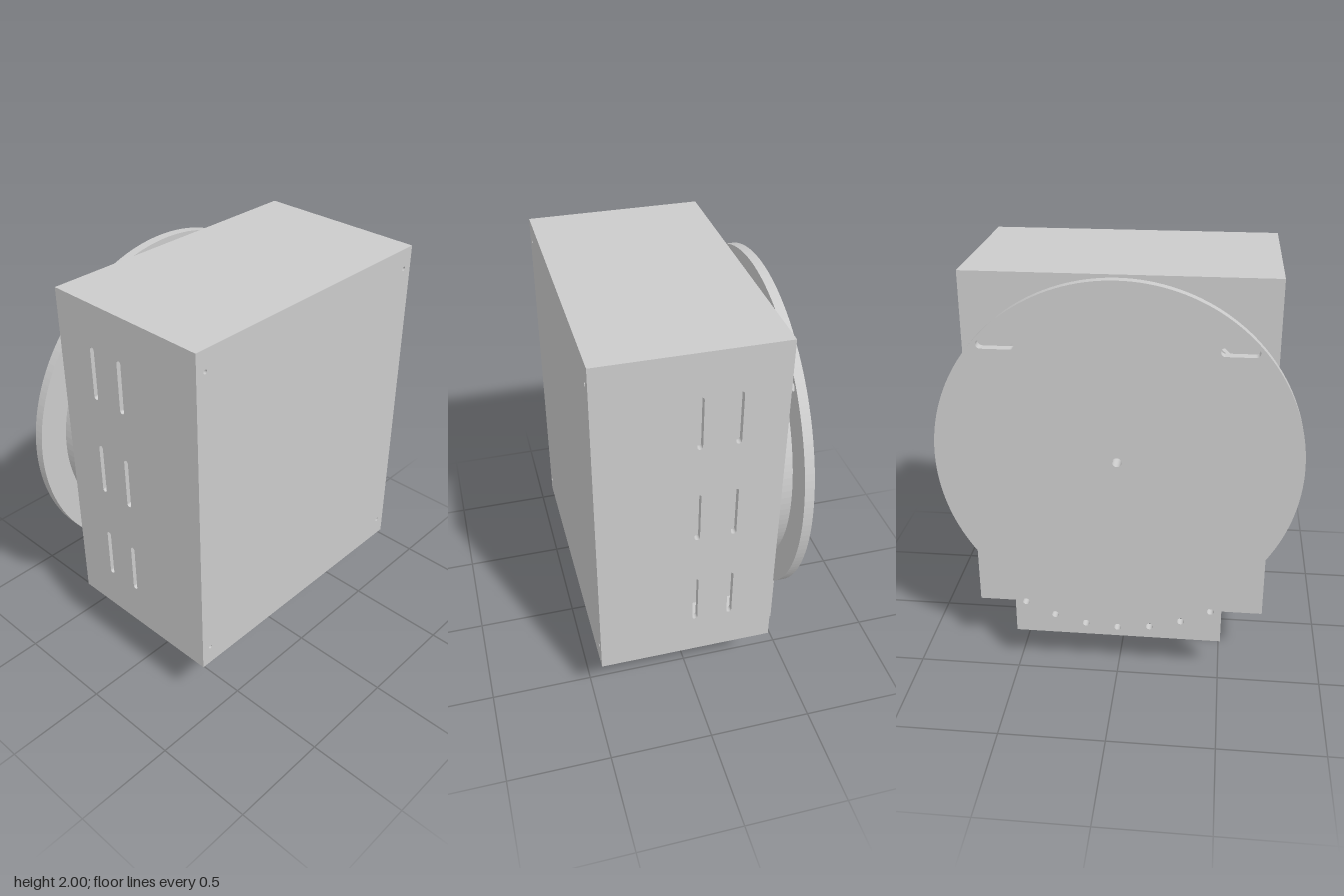
import * as THREE from 'three';

const material = new THREE.MeshStandardMaterial({ color: 0xcccccc });
const W = 0.705, BOTTOM = 0.31, TOP = 2, FRONT = 0.47, BACK = -0.375, T = 0.03;
const CY = 1.155; // height of the disc centre

function add(parent, name, geometry, x = 0, y = 0, z = 0) {
  const mesh = new THREE.Mesh(geometry, material);
  mesh.name = name;
  mesh.position.set(x, y, z);
  parent.add(mesh);
  return mesh;
}

function rectShape(x0, y0, x1, y1) {
  return new THREE.Shape([[x0, y0], [x1, y0], [x1, y1], [x0, y1]].map(p => new THREE.Vector2(...p)));
}

function roundHole(x, y, r) {
  return new THREE.Path().absarc(x, y, r, 0, Math.PI * 2, true);
}

// Rounded slot, standing or lying
function slot(x, y, length, width, upright) {
  const r = width / 2, h = length / 2 - r, path = new THREE.Path();
  const start = upright ? 0 : -Math.PI / 2;
  const dx = upright ? 0 : h, dy = upright ? h : 0;
  path.absarc(x + dx, y + dy, r, start, start + Math.PI, false);
  path.absarc(x - dx, y - dy, r, start + Math.PI, start + Math.PI * 2, false);
  path.closePath();
  return path;
}

function plate(shape, holes, depth, curveSegments = 12) {
  shape.holes.push(...holes);
  return new THREE.ExtrudeGeometry(shape, { depth, bevelEnabled: false, curveSegments });
}

// Disc with a straight tab hanging down to y = 0.2
function tabbedDisc(radius, halfTab) {
  const a = Math.asin(halfTab / radius), s = new THREE.Shape();
  s.moveTo(-halfTab, 0.2);
  s.lineTo(halfTab, 0.2);
  s.absarc(0, CY, radius, -Math.PI / 2 + a, Math.PI * 1.5 - a, false);
  s.closePath();
  return s;
}

export function createModel() {
  const model = new THREE.Group();
  model.name = 'wallBox';

  // Housing, open at the bottom
  const housing = new THREE.Group();
  housing.name = 'housing';
  model.add(housing);
  const screwHoles = [];
  for (const x of [-0.655, 0.655]) for (const y of [0.41, 1.9]) screwHoles.push(roundHole(x, y, 0.01));
  add(housing, 'frontPanel', plate(rectShape(-W, BOTTOM, W, TOP), screwHoles, T), 0, 0, FRONT - T);
  add(housing, 'backPanel', plate(rectShape(-W, BOTTOM, W, TOP), [roundHole(0, CY, 0.022)], T), 0, 0, BACK);
  const depth = FRONT - BACK - 2 * T;
  add(housing, 'topPanel', new THREE.BoxGeometry(2 * (W - T), T, depth), 0, TOP - T / 2, (FRONT + BACK) / 2);

  // Side panels with vent slots
  for (const [name, x] of [['leftPanel', W], ['rightPanel', T - W]]) {
    const vents = [];
    for (const z of [0.01, -0.16]) for (const y of [0.65, 1.155, 1.66]) vents.push(slot(z, y, 0.26, 0.025, true));
    add(housing, name, plate(rectShape(BACK + T, BOTTOM, FRONT - T, TOP), vents, T), x).rotation.y = -Math.PI / 2;
  }

  // Recessed floor and the body it carries inside
  add(housing, 'recessedFloor', new THREE.BoxGeometry(2 * (W - T), 0.02, depth), 0, 0.45, (FRONT + BACK) / 2);
  add(housing, 'innerBody', new THREE.BoxGeometry(1.1, 1.3, 0.6), 0, 1.11, 0.04);

  // Spacer disc with its narrow pointer tab
  add(model, 'spacerDisc',
    plate(tabbedDisc(0.705, 0.055), [roundHole(0, CY, 0.022), roundHole(0, 0.25, 0.017)], 0.05, 64), 0, 0, -0.425);

  // Mounting plate: arc of index holes, two slots and a centre hole
  const holes = [roundHole(0, CY, 0.022)];
  for (let i = -3; i <= 3; i++) {
    const a = i * Math.PI / 18;
    holes.push(roundHole(0.905 * Math.sin(a), CY - 0.905 * Math.cos(a), 0.017));
  }
  for (const x of [-0.533, 0.533]) holes.push(slot(x, 1.7, 0.17, 0.04, false));
  add(model, 'mountingPlate', plate(tabbedDisc(0.845, 0.505), holes, 0.045, 64), 0, 0, -0.47);

  // Handle: round bar on two posts with collars
  const handle = new THREE.Group();
  handle.name = 'handle';
  model.add(handle);
  add(handle, 'handleBar', new THREE.CylinderGeometry(0.056, 0.056, 0.79, 40), 0, 0.056, 0.05).rotation.z = Math.PI / 2;
  for (const x of [-0.34, 0.34]) {
    add(handle, 'handlePost', new THREE.CylinderGeometry(0.051, 0.051, 0.39, 40), x, 0.255, 0.05);
    add(handle, 'postCollar', new THREE.CylinderGeometry(0.073, 0.073, 0.03, 40), x, 0.365, 0.05);
  }
  return model;
}
